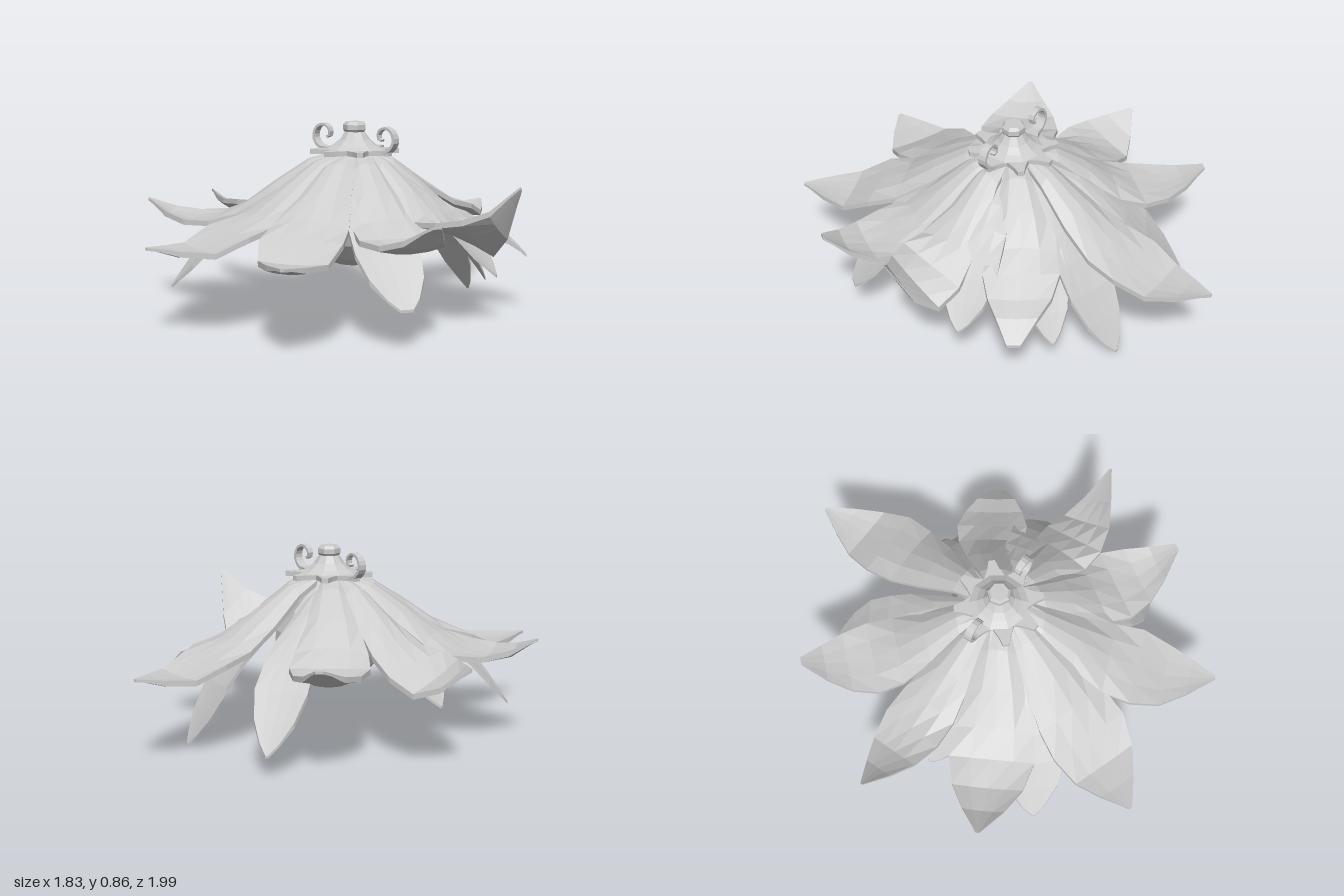
import * as THREE from 'three';

const CX = 0.035, CZ = 0.03; // flower axis

// Closed faceted solid through a list of equal-length rings of points
function loft(rings) {
  const pos = [];
  const tri = (...pts) => pts.forEach((p) => pos.push(p.x, p.y, p.z));
  const n = rings[0].length;
  for (let i = 0; i < rings.length - 1; i++) {
    for (let j = 0; j < n; j++) {
      const k = (j + 1) % n;
      const a = rings[i][j], b = rings[i][k], c = rings[i + 1][k], d = rings[i + 1][j];
      tri(a, b, c);
      tri(a, c, d);
    }
  }
  const first = rings[0], last = rings[rings.length - 1];
  for (let j = 1; j < n - 1; j++) {
    tri(first[0], first[j + 1], first[j]);
    tri(last[0], last[j], last[j + 1]);
  }
  const g = new THREE.BufferGeometry();
  g.setAttribute('position', new THREE.Float32BufferAttribute(pos, 3));
  g.computeVertexNormals();
  return g;
}

// Piecewise-linear lookup in [[t, value], ...]
function lookup(table, t) {
  for (let i = 1; i < table.length; i++) {
    const [t0, v0] = table[i - 1], [t1, v1] = table[i];
    if (t <= t1) return THREE.MathUtils.lerp(v0, v1, (t - t0) / (t1 - t0));
  }
  return table[table.length - 1][1];
}

const STEPS = [0, 0.15, 0.32, 0.48, 0.62, 0.76, 0.88, 0.96, 1];
const OUTER_WIDTHS = [[0, 0.25], [0.15, 0.43], [0.32, 0.71], [0.48, 0.93], [0.62, 1], [0.76, 0.82], [0.88, 0.47], [1, 0.04]];
const LOWER_WIDTHS = [[0, 0.25], [0.25, 0.55], [0.5, 0.88], [0.76, 1], [0.88, 0.75], [0.96, 0.36], [1, 0.05]];

// Petal slab: follows a height profile out to the tip, arched near the root, optionally twisted near the tip
function petalGeometry({ tip, half, heights, widths, cup = 0.01, arch = 0.05, bend = 0, blunt = 0, twist = 0 }) {
  const dx = tip[0] - CX, dz = tip[2] - CZ, len = Math.hypot(dx, dz);
  const ux = dx / len, uz = dz / len, root = 0.07;
  const rings = STEPS.map((t) => {
    const r = root + (len - root) * t;
    const w = half * (lookup(widths, t) + blunt * Math.max(0, (t - 0.76) / 0.24));
    const y = lookup(heights, t);
    const side = bend * 4 * t * (1 - t);
    const lift = t < 0.6 ? -arch * Math.sin((Math.PI * t) / 0.6) : cup * Math.sin((Math.PI * (t - 0.6)) / 0.4);
    const slope = twist * THREE.MathUtils.smoothstep(t, 0.4, 0.88);
    const thick = t > 0.95 ? 0.012 : 0.024;
    const point = (u, down) => {
      const s = side + u * w;
      return new THREE.Vector3(CX + ux * r - uz * s, y + lift * u * u + slope * u * w - down, CZ + uz * r + ux * s);
    };
    const us = [-1, -0.5, 0, 0.5, 1];
    return [...us.map((u) => point(u, 0)), ...us.slice().reverse().map((u) => point(u, thick))];
  });
  return loft(rings);
}

export function createModel() {
  const model = new THREE.Group();
  model.name = 'droopingFlower';
  const grey = new THREE.MeshStandardMaterial({ color: 0xcccccc });
  grey.name = 'lightGrey';
  grey.flatShading = true;
  const add = (name, geometry, x = 0, y = 0, z = 0) => {
    const mesh = new THREE.Mesh(geometry, grey);
    mesh.name = name;
    mesh.position.set(x, y, z);
    model.add(mesh);
  };

  // Outer petals, spreading, most of them turning up at the tips
  const outer = [
    { tip: [0.05, 0.4, -1.0], half: 0.165, low: 0.37, bend: 0.03 },
    { tip: [0.67, 0.27, -0.42], half: 0.165, low: 0.37, bend: -0.035, blunt: 0.14 },
    { tip: [0.91, 0.64, 0.04], half: 0.15, low: 0.41, bend: 0.025, twist: 0.8 },
    { tip: [0.81, 0.53, 0.49], half: 0.175, low: 0.41, cup: 0.02, bend: 0.03, blunt: 0.06 },
    { tip: [0.43, 0.39, 0.97], half: 0.18, low: 0.36, bend: 0.045 },
    { tip: [-0.3, 0.39, 0.99], half: 0.19, low: 0.36, bend: -0.035 },
    { tip: [-0.8, 0.5, 0.52], half: 0.19, low: 0.41, cup: 0.02, bend: -0.03 },
    { tip: [-0.92, 0.47, -0.02], half: 0.15, low: 0.39, twist: -0.55 },
    { tip: [-0.64, 0.5, -0.58], half: 0.17, low: 0.42, bend: -0.03, blunt: 0.06 },
  ];
  outer.forEach((p, i) => {
    const heights = [[0, 0.735], [0.15, 0.7], [0.32, 0.6], [0.48, 0.495], [0.62, 0.43],
      [0.76, p.low], [0.88, p.low * 0.7 + p.tip[1] * 0.3], [1, p.tip[1]]];
    add(`outerPetal${i + 1}`, petalGeometry({ ...p, heights, widths: OUTER_WIDTHS }));
  });

  // Lower petals, hanging steeply between the outer ones
  const lower = [
    { tip: [-0.37, 0.1, -0.64], half: 0.12 },
    { tip: [0.21, 0.015, -0.65], half: 0.125, bend: 0.02 },
    { tip: [0.43, 0.12, -0.46], half: 0.11 },
    { tip: [0.69, 0.22, -0.14], half: 0.12 },
    { tip: [0.66, 0.175, 0.48], half: 0.14, bend: 0.04, blunt: 0.15 },
    { tip: [-0.53, 0.14, 0.64], half: 0.14, bend: -0.05 },
    { tip: [-0.62, 0.23, 0.12], half: 0.125 },
  ];
  lower.forEach((p, i) => {
    const mix = (k) => THREE.MathUtils.lerp(p.tip[1], 0.69, k);
    const heights = [[0, 0.69], [0.25, mix(0.9)], [0.55, mix(0.64)], [0.8, mix(0.33)], [1, p.tip[1]]];
    add(`lowerPetal${i + 1}`, petalGeometry({ ...p, heights, widths: LOWER_WIDTHS, arch: 0.03 }));
  });

  // Rounded bud hanging in the middle
  const bud = [[0, 0.21], [0.09, 0.22], [0.16, 0.26], [0.22, 0.33], [0.25, 0.41],
    [0.245, 0.48], [0.2, 0.58], [0.1, 0.68], [0, 0.71]];
  add('bud', new THREE.LatheGeometry(bud.map(([r, y]) => new THREE.Vector2(r, y)), 12), 0.025, 0, 0.02);

  // Eight-pointed calyx plate with blunt tips
  const star = new THREE.Shape();
  for (let i = 0; i < 8; i++) {
    const a = (i / 8) * Math.PI * 2 + Math.PI / 2;
    [[-0.39, 0.125], [-0.17, 0.16], [-0.07, 0.2], [0.07, 0.2], [0.17, 0.16]].forEach(([da, r], j) => {
      const x = Math.cos(a + da) * r, y = Math.sin(a + da) * r;
      if (i + j === 0) star.moveTo(x, y);
      else star.lineTo(x, y);
    });
  }
  star.closePath();
  const plate = new THREE.ExtrudeGeometry(star, { depth: 0.022, bevelEnabled: false });
  plate.rotateX(-Math.PI / 2);
  add('calyxPlate', plate, CX, 0.722, CZ);

  // Flared calyx dome narrowing into a short stem stub
  const dome = [[0.135, 0.742], [0.1, 0.76], [0.07, 0.785], [0.046, 0.82], [0, 0.82]];
  add('calyxDome', new THREE.LatheGeometry(dome.map(([r, y]) => new THREE.Vector2(r, y)), 10), CX, 0, CZ);
  const stem = [[0, 0.815], [0.042, 0.815], [0.053, 0.83], [0.053, 0.852], [0.042, 0.865], [0, 0.865]];
  add('stemStub', new THREE.LatheGeometry(stem.map(([r, y]) => new THREE.Vector2(r, y)), 7), CX, 0, CZ);

  // Curling ribbon tendrils on both sides
  const curl = [[0.1, 0.738], [0.16, 0.735], [0.2, 0.745], [0.228, 0.785], [0.213, 0.83],
    [0.175, 0.845], [0.142, 0.825], [0.14, 0.797], [0.158, 0.788]];
  [1, -1].forEach((sign) => {
    const path = new THREE.CatmullRomCurve3(curl.map(([x, y]) => new THREE.Vector3(CX + sign * x, y, CZ)));
    const rings = [];
    for (let i = 0; i <= 18; i++) {
      const t = i / 18, p = path.getPointAt(t);
      const s = new THREE.Vector3(0, 0, sign);
      const n = s.clone().cross(path.getTangentAt(t));
      const w = 0.026 - 0.014 * t, h = 0.008 - 0.003 * t;
      rings.push([[-1, 1], [1, 1], [1, -1], [-1, -1]].map(([a, b]) =>
        p.clone().addScaledVector(s, a * w).addScaledVector(n, b * h)));
    }
    add(sign > 0 ? 'leftTendril' : 'rightTendril', loft(rings));
  });

  return model;
}
